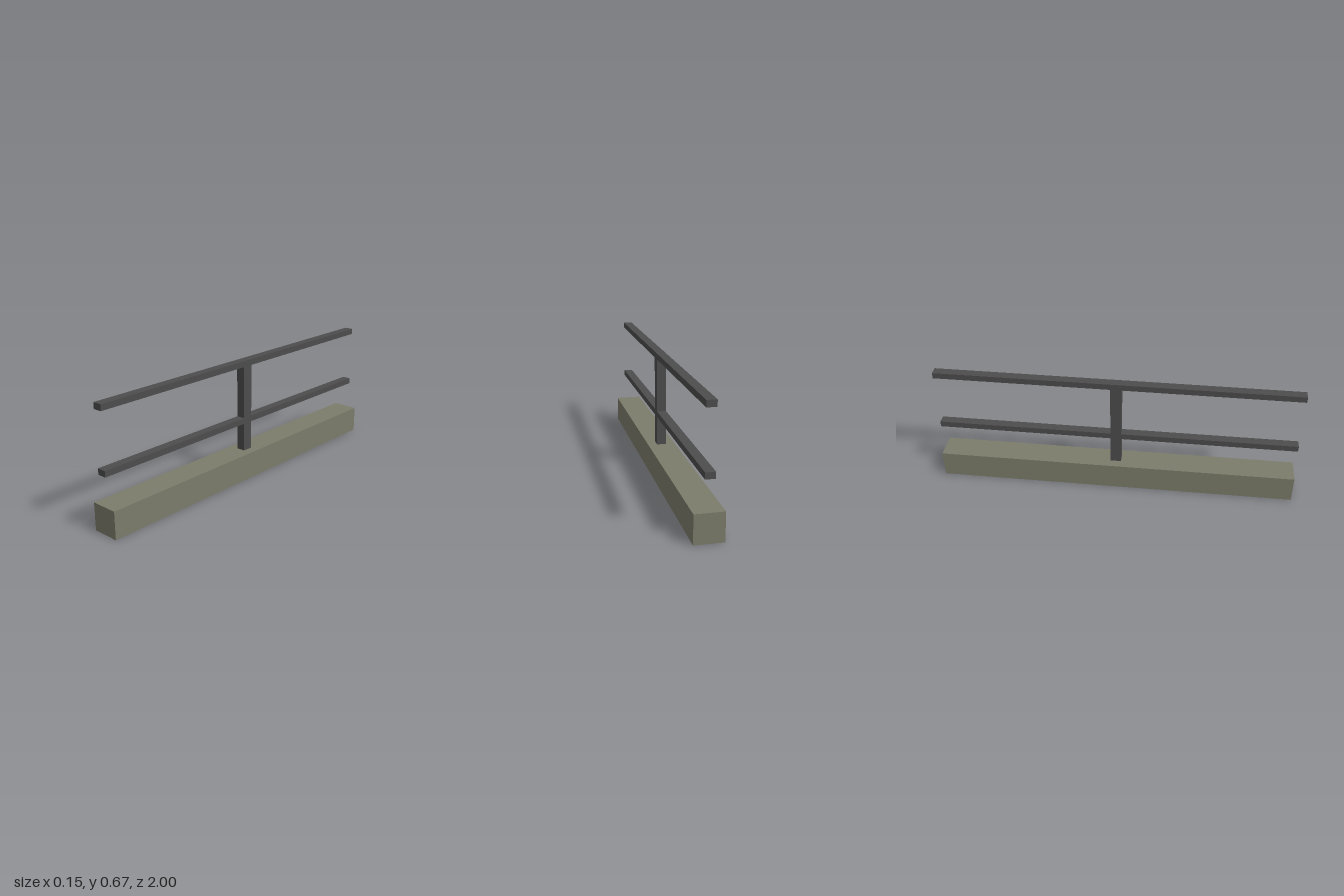
import * as THREE from 'three';

export function createModel() {
  const group = new THREE.Group();
  const stone = new THREE.MeshStandardMaterial({ color: 0x7c7c6b });
  const metal = new THREE.MeshStandardMaterial({ color: 0x4d4d4d });

  // Box spanning bottom..top, centred on x and z
  function addBox(name, width, bottom, top, depth, material) {
    const mesh = new THREE.Mesh(new THREE.BoxGeometry(width, top - bottom, depth), material);
    mesh.name = name;
    mesh.position.y = (bottom + top) / 2;
    group.add(mesh);
  }

  // Kerb along the ground
  addBox('base', 0.15, 0, 0.15, 2, stone);

  // Single upright, ending under the top rail
  addBox('post', 0.05, 0.15, 0.635, 0.06, metal);

  // Two full-length rails
  addBox('middleRail', 0.05, 0.309, 0.342, 2, metal);
  addBox('topRail', 0.05, 0.635, 0.668, 2, metal);

  return group;
}
